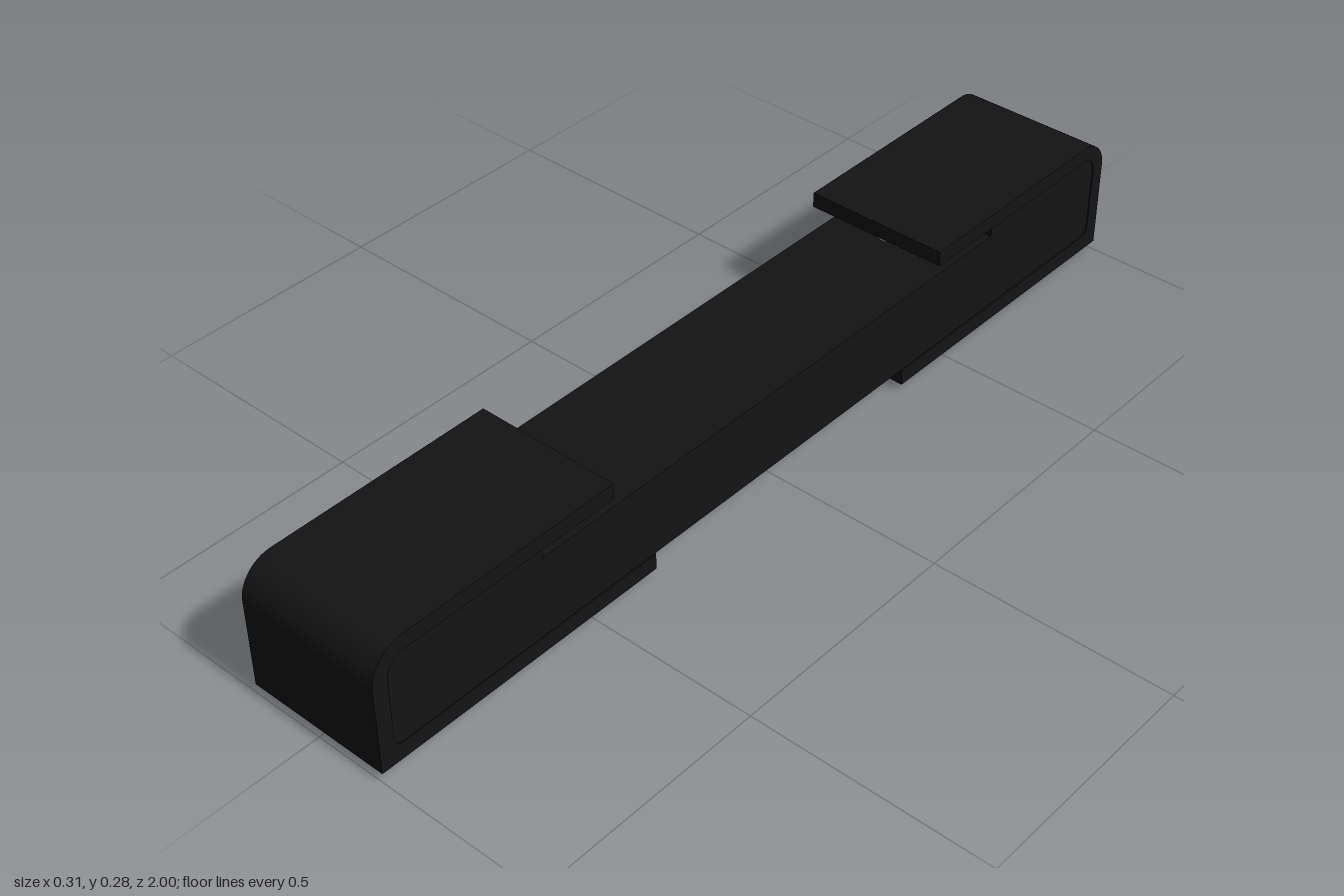
import * as THREE from 'three';

const black = new THREE.MeshStandardMaterial({ color: 0x141414 });
const slate = new THREE.MeshStandardMaterial({ color: 0x505050 });
const metal = new THREE.MeshStandardMaterial({ color: 0x888888 });

function add(parent, name, geometry, material, x = 0, y = 0, z = 0) {
  const mesh = new THREE.Mesh(geometry, material);
  mesh.name = name;
  mesh.position.set(x, y, z);
  parent.add(mesh);
  return mesh;
}

// Box given by its minimum and maximum corners
function slab(parent, name, material, [x0, y0, z0], [x1, y1, z1]) {
  const g = new THREE.BoxGeometry(x1 - x0, y1 - y0, z1 - z0);
  return add(parent, name, g, material, (x0 + x1) / 2, (y0 + y1) / 2, (z0 + z1) / 2);
}

// Extrudes a (z, y) profile along x, from x0 to x1
function extrudeX(shape, x0, x1) {
  const g = new THREE.ExtrudeGeometry(shape, { depth: x1 - x0, bevelEnabled: false, curveSegments: 10 });
  g.rotateY(-Math.PI / 2); // profile x -> +z, depth -> -x
  g.translate(x1, 0, 0);
  return g;
}

// C-shaped end sleeve: long floor plate, end wall with rounded top corner, shorter top plate
function sleeveShape() {
  const s = new THREE.Shape();
  s.moveTo(0.35, 0.02);
  s.lineTo(1, 0.02);
  s.lineTo(1, 0.207);
  s.absarc(0.93, 0.207, 0.07, 0, Math.PI / 2, false);
  s.lineTo(0.45, 0.277);
  s.lineTo(0.45, 0.245);
  s.lineTo(0.93, 0.245);
  s.absarc(0.93, 0.207, 0.038, Math.PI / 2, 0, true);
  s.lineTo(0.968, 0.075);
  s.absarc(0.948, 0.075, 0.02, 0, -Math.PI / 2, true);
  s.lineTo(0.35, 0.055);
  s.closePath();
  return s;
}

// Panel that closes the sleeve opening on the plain side
function closingShape() {
  const s = new THREE.Shape();
  s.moveTo(0.62, 0.055);
  s.lineTo(0.948, 0.055);
  s.absarc(0.948, 0.075, 0.02, -Math.PI / 2, 0, false);
  s.lineTo(0.968, 0.207);
  s.absarc(0.93, 0.207, 0.038, 0, Math.PI / 2, false);
  s.lineTo(0.62, 0.245);
  s.closePath();
  return s;
}

export function createModel() {
  const model = new THREE.Group();
  model.name = 'lowMediaBench';

  // Cabinet between the sleeves
  const cabinet = new THREE.Group();
  cabinet.name = 'cabinet';
  model.add(cabinet);
  slab(cabinet, 'cabinetTop', black, [-0.12, 0.195, -0.62], [0.152, 0.225, 0.62]);
  slab(cabinet, 'cabinetFloor', black, [-0.1, 0.055, -0.62], [0.152, 0.07, 0.62]);
  slab(cabinet, 'cabinetBack', black, [0.132, 0.07, -0.62], [0.152, 0.195, 0.62]);
  for (const s of [-1, 1])
    slab(cabinet, 'cabinetEnd', black, [-0.1, 0.07, s * 0.61 - 0.01], [0.132, 0.195, s * 0.61 + 0.01]);

  // Three drawer fronts with narrow gaps
  for (const [z0, z1] of [[-0.62, -0.244], [-0.238, 0.238], [0.244, 0.62]])
    slab(cabinet, 'drawerFront', slate, [-0.119, 0.055, z0], [-0.1, 0.191, z1]);

  // End sleeves, the second turned into a mirror image
  const sleeveGeo = extrudeX(sleeveShape(), -0.155, 0.154);
  const closingGeo = extrudeX(closingShape(), 0.132, 0.152);
  const mirrored = (g, s) => {
    if (s > 0) return g;
    const m = g.clone().toNonIndexed();
    m.scale(1, 1, -1);
    // Swap two corners of each triangle to keep the faces outward
    for (const key of ['position', 'normal', 'uv']) {
      const a = m.attributes[key], n = a.itemSize;
      for (let i = 0; i < a.count; i += 3)
        for (let k = 0; k < n; k++) {
          const p = (i + 1) * n + k, q = (i + 2) * n + k;
          [a.array[p], a.array[q]] = [a.array[q], a.array[p]];
        }
    }
    return m;
  };
  const footGeo = new THREE.CylinderGeometry(0.017, 0.017, 0.022, 20);
  const pegGeo = new THREE.CylinderGeometry(0.016, 0.016, 0.022, 20);

  for (const s of [1, -1]) {
    const end = new THREE.Group();
    end.name = s > 0 ? 'frontEnd' : 'backEnd';
    model.add(end);
    add(end, 'sleeve', mirrored(sleeveGeo, s), black);
    add(end, 'closingPanel', mirrored(closingGeo, s), black);
    // Spacer peg between cabinet top and sleeve
    add(end, 'spacerPeg', pegGeo, metal, 0, 0.235, s * 0.485);
    // Feet
    for (const x of [-0.105, 0.103])
      for (const z of [0.415, 0.967])
        add(end, 'foot', footGeo, metal, x, 0.011, s * z);
  }
  return model;
}
